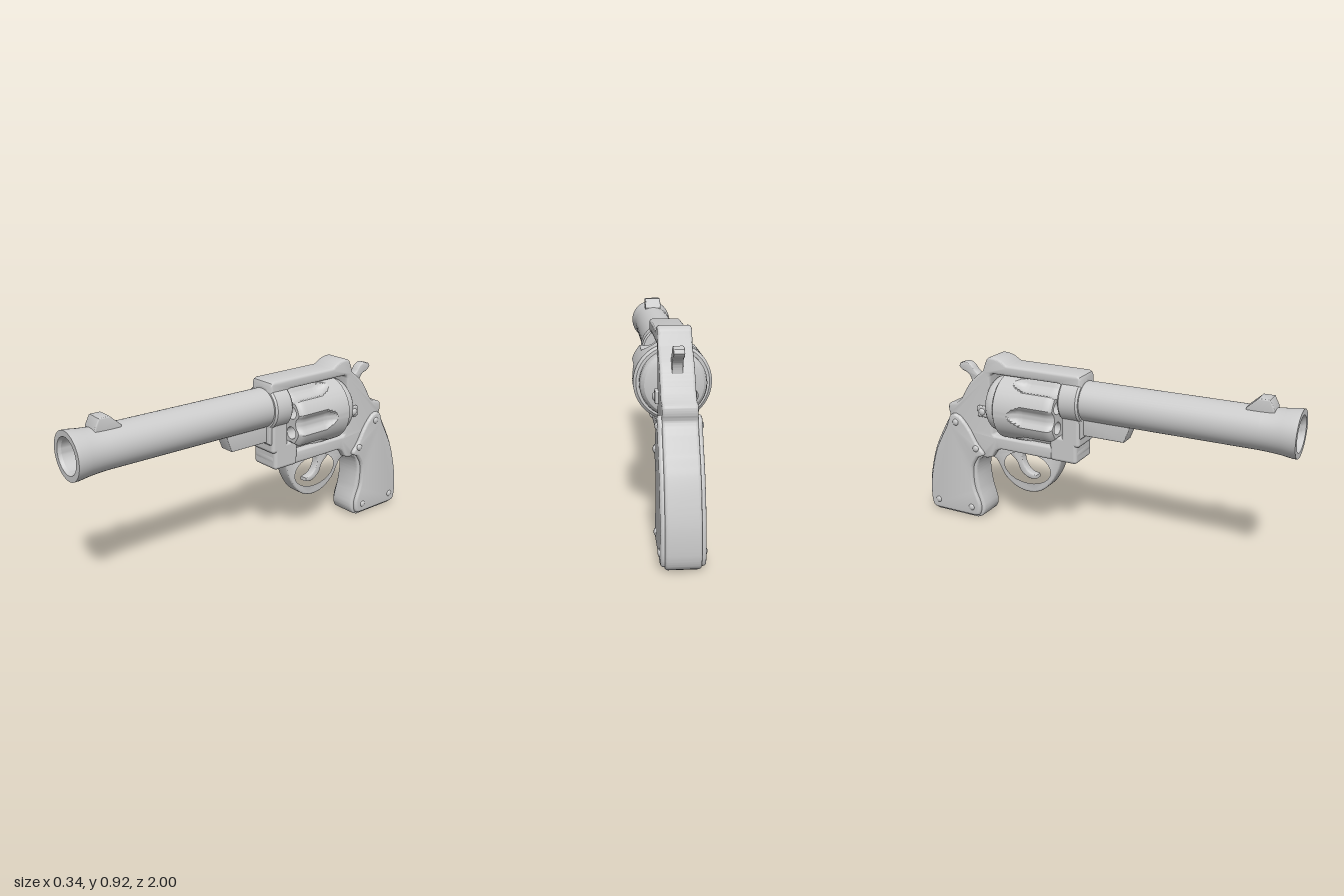
import * as THREE from 'three';
import { toCreasedNormals } from 'three/addons/utils/BufferGeometryUtils.js';
import { RoundedBoxGeometry } from 'three/addons/geometries/RoundedBoxGeometry.js';

const grey = new THREE.MeshStandardMaterial({ color: 0xcccccc });
const V = (p) => new THREE.Vector2(p[0], p[1]);
const BARREL_Y = 0.748, DRUM_Y = 0.665;

export function createModel() {
  const model = new THREE.Group();

  function add(name, geometry, x = 0, y = 0, z = 0, material = grey) {
    const mesh = new THREE.Mesh(geometry, material);
    mesh.name = name;
    mesh.position.set(x, y, z);
    model.add(mesh);
    return mesh;
  }

  // Outline in (z, y); each segment is a straight run or a smooth spline
  function outline(segments) {
    const shape = new THREE.Shape();
    segments.forEach(([kind, ...pts], i) => {
      if (i === 0) shape.moveTo(...pts.shift());
      else if (kind === 'spline') shape.lineTo(...pts.shift());
      if (kind === 'spline') shape.splineThru(pts.map(V));
      else pts.forEach((p) => shape.lineTo(...p));
    });
    return shape;
  }

  // Side-profile plate, extruded symmetrically across x with rounded edges
  function plate(shape, half, bevel, curveSegments = 10) {
    const g = new THREE.ExtrudeGeometry(shape, {
      depth: 2 * (half - bevel), bevelThickness: bevel, bevelSize: bevel,
      bevelOffset: -bevel, bevelSegments: 3, curveSegments,
    });
    g.translate(0, 0, -(half - bevel)).rotateY(-Math.PI / 2);
    return toCreasedNormals(g, 0.6);
  }

  function turned(points, segments = 48) {
    const g = new THREE.LatheGeometry(points.map(V), segments).rotateX(Math.PI / 2);
    return toCreasedNormals(g, 0.5);
  }

  // Frame with backstrap and grip core
  const frame = outline([
    ['line', [-0.045, 0.865], [-0.052, 0.88], [-0.068, 0.887], [-0.455, 0.887]],
    ['spline', [-0.465, 0.889], [-0.5, 0.91], [-0.545, 0.92], [-0.575, 0.913], [-0.592, 0.885]],
    ['spline', [-0.607, 0.845], [-0.65, 0.81], [-0.69, 0.772], [-0.725, 0.72], [-0.752, 0.677], [-0.778, 0.653]],
    ['spline', [-0.815, 0.648], [-0.833, 0.635], [-0.837, 0.605], [-0.832, 0.572], [-0.864, 0.519],
      [-0.94, 0.374], [-0.987, 0.214], [-0.999, 0.09], [-0.988, 0.027], [-0.955, 0.002]],
    ['spline', [-0.69, 0.002], [-0.653, 0.025], [-0.641, 0.075], [-0.667, 0.175], [-0.678, 0.27],
      [-0.665, 0.335], [-0.64, 0.363], [-0.607, 0.368]],
    ['spline', [-0.575, 0.38], [-0.55, 0.415], [-0.52, 0.432]],
    ['line', [-0.18, 0.43], [-0.1, 0.434]],
    ['spline', [-0.08, 0.445], [-0.067, 0.476], [-0.07, 0.535], [-0.045, 0.572]],
  ]);
  const windowHole = new THREE.Path();
  windowHole.moveTo(-0.15, 0.53);
  windowHole.lineTo(-0.15, 0.81);
  windowHole.quadraticCurveTo(-0.15, 0.835, -0.175, 0.835);
  windowHole.lineTo(-0.54, 0.835);
  windowHole.quadraticCurveTo(-0.565, 0.835, -0.565, 0.81);
  windowHole.lineTo(-0.565, 0.52);
  windowHole.quadraticCurveTo(-0.565, 0.5, -0.54, 0.5);
  windowHole.lineTo(-0.175, 0.5);
  windowHole.quadraticCurveTo(-0.15, 0.5, -0.15, 0.53);
  frame.holes.push(windowHole);
  add('frame', plate(frame, 0.073, 0.012));

  // Front of the frame: barrel collar and block beneath it
  add('barrelCollar', turned([[0, -0.155], [0.108, -0.155], [0.116, -0.145], [0.116, -0.055], [0.108, -0.045], [0, -0.045]]), 0, BARREL_Y);
  add('frontBlock', new RoundedBoxGeometry(0.166, 0.135, 0.15, 3, 0.018), 0, 0.498, -0.143);
  add('blockNeck', new RoundedBoxGeometry(0.166, 0.22, 0.1, 3, 0.018), 0, 0.63, -0.102);

  // Barrel with flared, hollow muzzle
  add('barrel', turned([
    [0.099, -0.06], [0.099, 0.83], [0.101, 0.88], [0.105, 0.93], [0.112, 0.98], [0.112, 1],
    [0.085, 1], [0.076, 0.985], [0.076, 0.55], [0, 0.55],
  ]), 0, BARREL_Y);
  add('frontSight', plate(outline([['line', [0.885, 0.83], [0.885, 0.85], [0.862, 0.894], [0.81, 0.894], [0.757, 0.845], [0.757, 0.83]]]), 0.044, 0.006));
  add('underLug', plate(outline([['line', [0.2, 0.67], [0.195, 0.64], [0.17, 0.577], [-0.06, 0.577], [-0.06, 0.67]]]), 0.042, 0.004));

  // Fluted drum: scoop depth by angle and position along the axis
  function scoop(angle, z) {
    const step = Math.PI / 3;
    const a = Math.abs(angle - Math.round(angle / step) * step);
    const end = THREE.MathUtils.clamp((z + 0.405) / 0.06, 0, 1);
    const width = 0.27 * Math.sqrt(end);
    return a < width ? 0.032 * Math.sqrt(end) * Math.sqrt(1 - (a / width) ** 2) : 0;
  }
  const profile = [[0.1, -0.5], [0.16, -0.5], [0.172, -0.49]];
  for (let z = -0.42; z < -0.2; z += 0.01) profile.push([0.172, z]);
  profile.push([0.172, -0.195], [0.167, -0.178], [0.152, -0.165]);
  const drum = new THREE.LatheGeometry(profile.map(V), 120).rotateX(Math.PI / 2);
  const pos = drum.attributes.position;
  for (let i = 0; i < pos.count; i++) {
    const x = pos.getX(i), y = pos.getY(i), r = Math.hypot(x, y);
    const k = (r - scoop(Math.atan2(y, x), pos.getZ(i))) / r;
    pos.setXY(i, x * k, y * k);
  }
  add('drum', toCreasedNormals(drum, 0.6), 0, DRUM_Y);

  // Drum front face with six open chambers
  const face = new THREE.Shape();
  for (let i = 0; i < 120; i++) {
    const a = (i / 120) * Math.PI * 2, r = 0.152 - scoop(a, -0.165);
    face[i ? 'lineTo' : 'moveTo'](r * Math.cos(a), r * Math.sin(a));
  }
  const doubleGrey = grey.clone();
  doubleGrey.side = THREE.DoubleSide;
  for (let i = 0; i < 6; i++) {
    const a = Math.PI / 6 + (i * Math.PI) / 3;
    const cx = 0.104 * Math.cos(a), cy = 0.104 * Math.sin(a);
    face.holes.push(new THREE.Path().absarc(cx, cy, 0.032, 0, Math.PI * 2, true));
    const bore = new THREE.CylinderGeometry(0.032, 0.032, 0.2, 16, 1, true).rotateX(Math.PI / 2);
    add('chamber', bore, cx, DRUM_Y + cy, -0.265, doubleGrey);
    add('chamberEnd', new THREE.CircleGeometry(0.032, 16), cx, DRUM_Y + cy, -0.365);
  }
  add('drumFace', new THREE.ShapeGeometry(face, 8), 0, DRUM_Y, -0.165);
  add('drumRearCap', turned([[0, -0.568], [0.11, -0.568], [0.128, -0.562], [0.141, -0.548], [0.147, -0.525], [0.147, -0.49]]), 0, DRUM_Y);

  // Trigger guard and trigger
  const guard = outline([
    ['spline', [-0.165, 0.445], [-0.18, 0.405], [-0.205, 0.34], [-0.25, 0.27], [-0.31, 0.222], [-0.38, 0.207],
      [-0.45, 0.222], [-0.515, 0.268], [-0.55, 0.325], [-0.575, 0.36], [-0.62, 0.37]],
    ['line', [-0.62, 0.45]],
  ]);
  guard.holes.push(new THREE.Path().absellipse(-0.38, 0.343, 0.148, 0.095, 0, Math.PI * 2, true));
  add('triggerGuard', plate(guard, 0.04, 0.008, 12));
  add('trigger', plate(outline([
    ['spline', [-0.41, 0.45], [-0.42, 0.39], [-0.408, 0.345], [-0.38, 0.312], [-0.337, 0.3]],
    ['spline', [-0.335, 0.282], [-0.38, 0.277], [-0.43, 0.308], [-0.455, 0.36], [-0.5, 0.4], [-0.51, 0.45]],
  ]), 0.022, 0.006));

  // Hammer spur
  add('hammer', plate(outline([
    ['spline', [-0.6, 0.78], [-0.65, 0.797], [-0.685, 0.82], [-0.71, 0.85], [-0.74, 0.863], [-0.778, 0.855]],
    ['spline', [-0.786, 0.838], [-0.77, 0.82], [-0.735, 0.806], [-0.715, 0.78], [-0.71, 0.74], [-0.715, 0.7]],
    ['line', [-0.62, 0.68]],
  ]), 0.023, 0.006));

  // Grip panels on both sides
  add('gripPanels', plate(outline([
    ['spline', [-0.785, 0.592], [-0.75, 0.575], [-0.7, 0.515], [-0.66, 0.445], [-0.622, 0.4], [-0.622, 0.383]],
    ['spline', [-0.66, 0.365], [-0.692, 0.31], [-0.698, 0.24], [-0.69, 0.175], [-0.66, 0.09], [-0.668, 0.03], [-0.7, 0.017]],
    ['spline', [-0.95, 0.017], [-0.975, 0.03], [-0.985, 0.09], [-0.972, 0.21], [-0.925, 0.37], [-0.85, 0.51], [-0.825, 0.57], [-0.805, 0.59]],
  ]), 0.091, 0.013));

  // Panel screws and frame bolts, mirrored
  for (const side of [-1, 1]) {
    for (const [z, y] of [[-0.783, 0.547], [-0.665, 0.417], [-0.714, 0.066], [-0.933, 0.07]]) {
      add('gripScrew', new THREE.SphereGeometry(0.018, 16, 10).scale(0.6, 1, 1), side * 0.089, y, z);
    }
    add('boltPlate', new RoundedBoxGeometry(0.03, 0.058, 0.058, 2, 0.006), side * 0.073, 0.63, -0.612);
    add('boltHead', new THREE.SphereGeometry(0.019, 16, 10).scale(0.6, 1, 1), side * 0.087, 0.63, -0.612);
  }
  return model;
}
